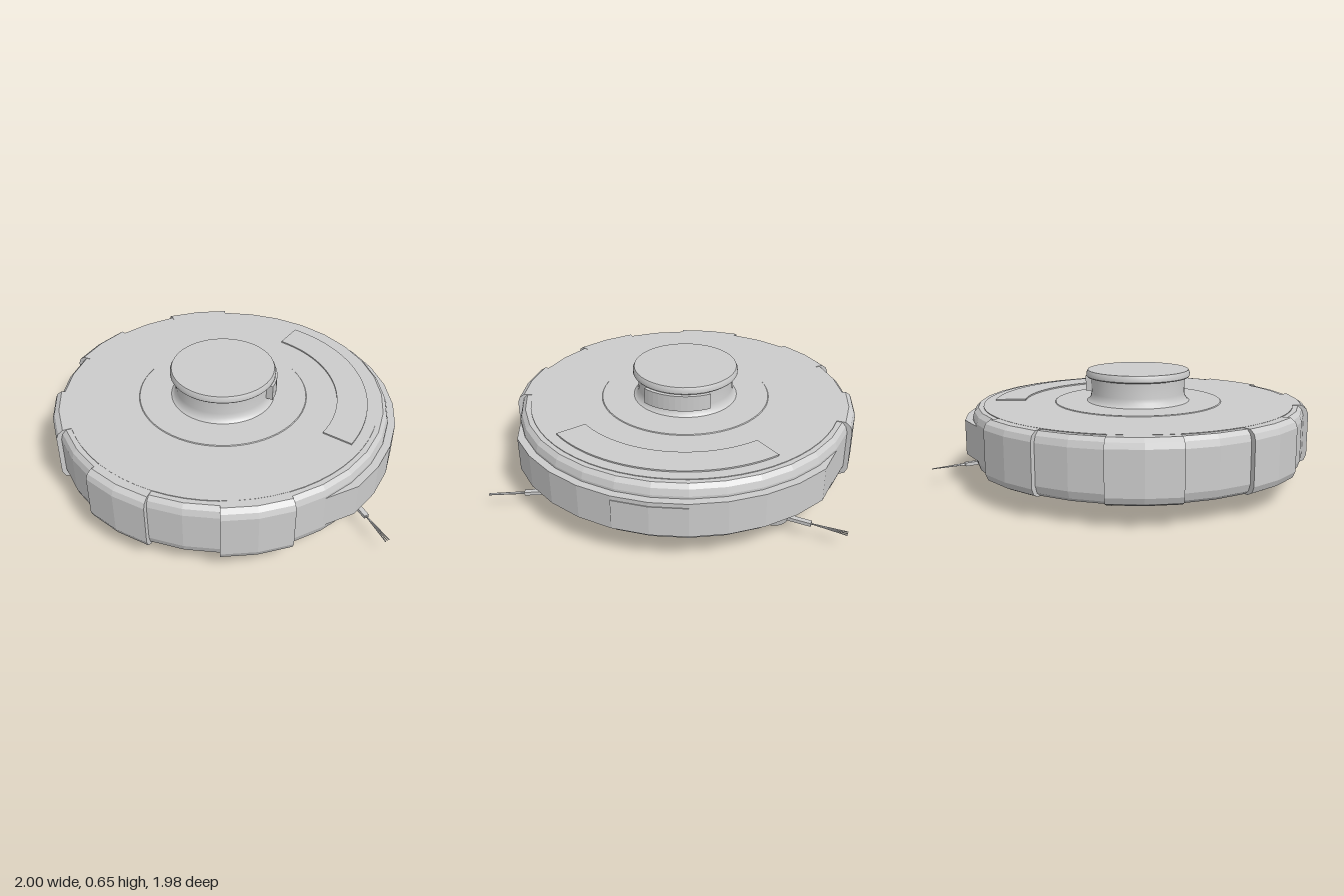
import * as THREE from 'three';
import { toCreasedNormals } from 'three/addons/utils/BufferGeometryUtils.js';

const CX = -0.01;            // axis of the round body
const STEP = Math.PI / 16;   // one of 32 body facets
const shell = new THREE.MeshStandardMaterial({ color: 0xcccccc });
shell.name = 'lightGrey';

function add(parent, name, geometry, x = 0, y = 0, z = 0) {
  const mesh = new THREE.Mesh(geometry, shell);
  mesh.name = name;
  mesh.position.set(x, y, z);
  parent.add(mesh);
  return mesh;
}

function flat(geometry) {
  const g = geometry.toNonIndexed();
  g.computeVertexNormals();
  return g;
}

function lathe(profile, segments) {
  return new THREE.LatheGeometry(profile.map(p => new THREE.Vector2(...p)), segments);
}

// Sweeps a convex, counter-clockwise [radius, height] section around y.
// Angles run from +x towards +z; endInset pulls in both ends.
function arcSolid(section, a0, a1, segments, endInset = 0) {
  const pos = [], index = [], n = section.length;
  for (let i = 0; i <= segments; i++) {
    const a = a0 + (a1 - a0) * i / segments;
    const inset = i === 0 || i === segments ? endInset : 0;
    for (const [r, y] of section) pos.push((r - inset) * Math.cos(a), y, (r - inset) * Math.sin(a));
  }
  for (let i = 0; i < segments; i++) {
    for (let j = 0; j < n; j++) {
      const p = i * n + j, q = i * n + (j + 1) % n;
      index.push(p, q, q + n, p, q + n, p + n);
    }
  }
  const e = segments * n;
  for (let j = 1; j < n - 1; j++) index.push(0, j + 1, j, e, e + j, e + j + 1);
  const g = new THREE.BufferGeometry();
  g.setAttribute('position', new THREE.Float32BufferAttribute(pos, 3));
  g.setIndex(index);
  return flat(g);
}

const box = (r0, r1, y0, y1) => [[r0, y0], [r1, y0], [r1, y1], [r0, y1]];

// Tyre with a scalloped tread
function treadGeometry(radius, width) {
  const points = [], lobes = 22, per = 6;
  for (let i = 0; i < lobes * per; i++) {
    const a = i / (lobes * per) * Math.PI * 2;
    const r = radius - 0.012 + 0.012 * Math.abs(Math.sin(a * lobes / 2));
    points.push(new THREE.Vector2(r * Math.cos(a), r * Math.sin(a)));
  }
  const g = new THREE.ExtrudeGeometry(new THREE.Shape(points), { depth: width, bevelEnabled: false });
  return g.translate(0, 0, -width / 2);
}

// Three-armed sweeping brush
function makeBrush(side) {
  const brush = new THREE.Group();
  brush.name = side > 0 ? 'leftSideBrush' : 'rightSideBrush';
  brush.position.set(0.59, 0.1, side * 0.585);
  add(brush, 'brushHub', flat(new THREE.CylinderGeometry(0.09, 0.08, 0.04, 20)));
  for (const degrees of [-75, 75, 180]) {
    const arm = new THREE.Group();
    arm.name = 'brushArm';
    arm.rotation.y = THREE.MathUtils.degToRad(degrees);
    add(arm, 'armStem', new THREE.BoxGeometry(0.14, 0.02, 0.028), 0.14, 0, 0);
    for (const k of [-1, 0, 1]) {
      const bristle = new THREE.CylinderGeometry(0.003, 0.004, 0.21, 5).rotateZ(-Math.PI / 2);
      const strand = add(arm, 'bristle', bristle, 0.3, 0, k * 0.006);
      strand.rotation.set(0, -k * 0.04, -k * 0.03);
    }
    brush.add(arm);
  }
  return brush;
}

export function createModel() {
  const model = new THREE.Group();
  model.name = 'robotVacuum';
  const round = new THREE.Group();
  round.name = 'roundBody';
  round.position.x = CX;
  model.add(round);

  // Main disc with rounded rims and shallow steps on the lid
  add(round, 'bodyShell', flat(lathe([
    [0, 0.12], [0.925, 0.12], [0.95, 0.14], [0.963, 0.18], [0.963, 0.4],
    [0.952, 0.435], [0.93, 0.457], [0.9, 0.457], [0, 0.457]], 32)));
  add(round, 'lid', toCreasedNormals(lathe([[0.9, 0.455], [0.9, 0.461], [0, 0.461]], 64), 0.5));
  add(round, 'lidRing', toCreasedNormals(lathe([[0.49, 0.46], [0.485, 0.465], [0, 0.465]], 64), 0.5));

  // Raised panels around the sides and back
  const panel = [[0.88, 0.12], [0.945, 0.12], [0.975, 0.135], [0.99, 0.17], [0.99, 0.41],
    [0.978, 0.44], [0.95, 0.46], [0.88, 0.46]];
  for (let i = 0; i < 5; i++) {
    const a = Math.PI / 2 + i * Math.PI / 4;
    add(round, 'sidePanel', arcSolid(panel, a - STEP, a + STEP, 2));
  }

  // Bumper and its sensor window
  add(round, 'bumper', arcSolid(box(0.93, 1.006, 0.19, 0.387), -6 * STEP, 6 * STEP, 12, 0.043));
  add(round, 'sensorWindow', arcSolid(box(1.002, 1.01, 0.22, 0.363), -STEP, STEP, 2));

  // Curved cover on the lid
  add(round, 'lidCover', arcSolid(box(0.665, 0.84, 0.455, 0.469), -Math.PI / 4, Math.PI / 4, 24));

  // Scanner turret
  add(round, 'turret', toCreasedNormals(lathe([
    [0.31, 0.46], [0.293, 0.47], [0.28, 0.49], [0.275, 0.515], [0.275, 0.603], [0.299, 0.606],
    [0.304, 0.612], [0.304, 0.632], [0.296, 0.648], [0, 0.648]], 48), 0.6));
  add(round, 'turretWindow', arcSolid(box(0.26, 0.314, 0.51, 0.602), -0.64, 0.64, 12));

  // Drive wheels, each with two tyres and a core
  const tyre = treadGeometry(0.118, 0.097);
  const core = new THREE.CylinderGeometry(0.095, 0.095, 0.16, 24).rotateX(Math.PI / 2);
  for (const side of [-1, 1]) {
    const wheel = new THREE.Group();
    wheel.name = side > 0 ? 'leftWheel' : 'rightWheel';
    wheel.position.set(-0.285, 0.118, side * 0.426);
    add(wheel, 'wheelCore', core);
    for (const z of [-0.061, 0.061]) add(wheel, 'tyre', tyre, 0, 0, z);
    model.add(wheel, makeBrush(side));
  }

  // Ball caster
  add(model, 'caster', new THREE.SphereGeometry(0.115, 24, 16), 0.615, 0.13, 0);
  return model;
}
